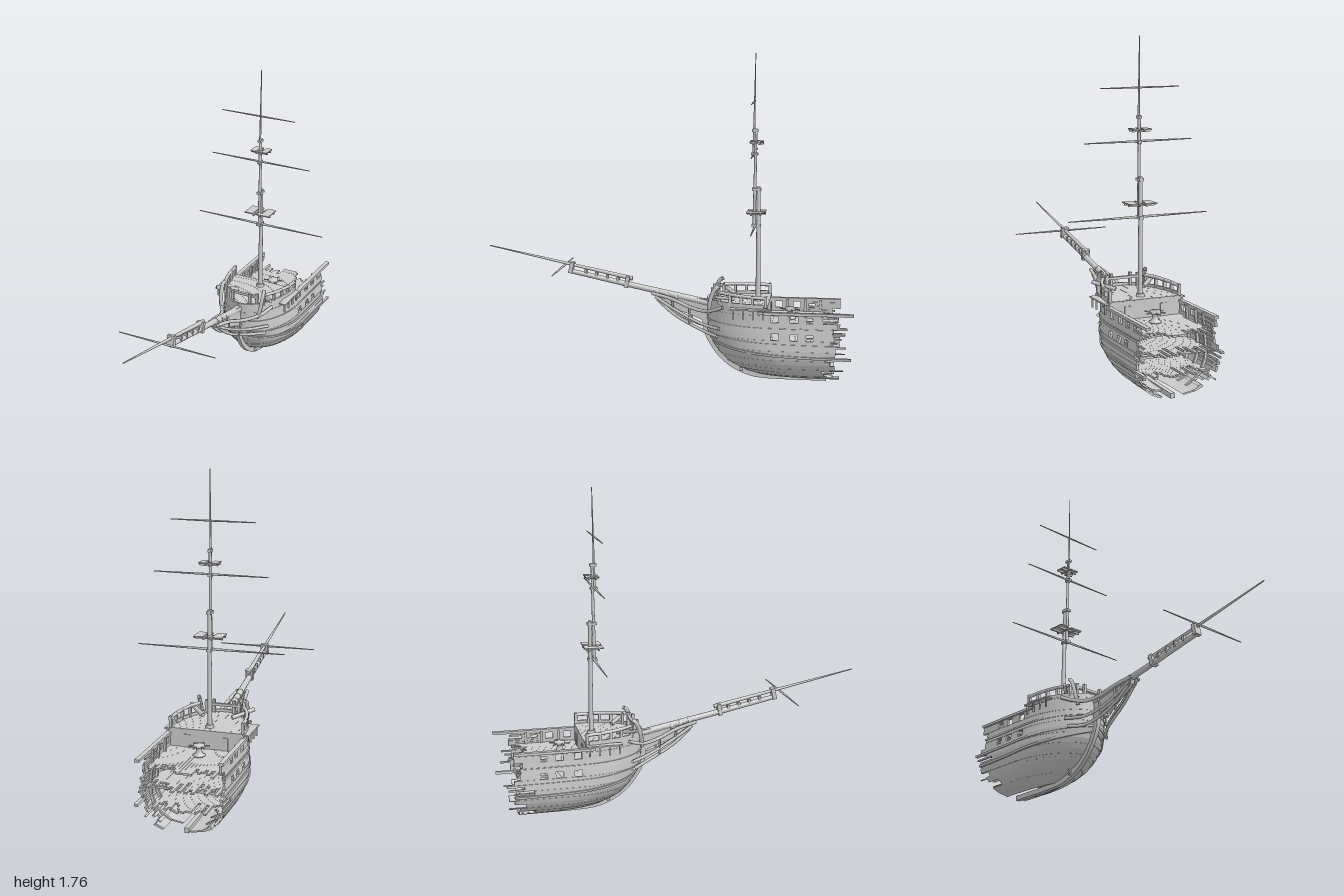
import * as THREE from 'three';
import { mergeGeometries } from 'three/addons/utils/BufferGeometryUtils.js';

const V = (x, y, z) => new THREE.Vector3(x, y, z);
let seed = 7;
const rnd = () => (seed = (seed * 16807) % 2147483647) / 2147483647;

// Linear lookup in a [key, value] table
function look(table, k) {
  for (let i = 1; i < table.length; i++) {
    const [a, va] = table[i - 1], [b, vb] = table[i];
    if (k <= b) return va + (vb - va) * Math.max(0, (k - a) / (b - a));
  }
  return table[table.length - 1][1];
}
// Hull form: half breadth and bow position by height
const BREADTH = [[0.025, 0.04], [0.035, 0.1], [0.055, 0.145], [0.09, 0.185], [0.14, 0.21], [0.19, 0.22], [0.27, 0.214], [0.34, 0.205], [0.45, 0.2]];
const BOW = [[0.025, -0.52], [0.05, -0.43], [0.1, -0.33], [0.15, -0.28], [0.2, -0.245], [0.27, -0.22], [0.45, -0.212]];
const ENTRY = 0.34;
const breadth = y => look(BREADTH, y), bow = y => look(BOW, y);
const halfWidth = (y, z) => {
  const t = Math.min(1, Math.max(0, (bow(y) - z) / ENTRY));
  return breadth(y) * Math.sqrt(1 - (1 - t) ** 2);
};
const bowAt = (x, y) => bow(y) - ENTRY * (1 - Math.sqrt(Math.max(0, 1 - (x / breadth(y)) ** 2)));

// Solid through a row of equal rings, flat faces
function loft(rings) {
  const pos = [], n = rings[0].length;
  const quad = (a, b, c, d) => [a, b, c, a, c, d].forEach(p => pos.push(p.x, p.y, p.z));
  for (let i = 0; i + 1 < rings.length; i++)
    for (let j = 0; j < n; j++) {
      const k = (j + 1) % n;
      quad(rings[i][j], rings[i][k], rings[i + 1][k], rings[i + 1][j]);
    }
  for (const r of [rings[0], rings[rings.length - 1]]) quad(r[0], r[1], r[2], r[3]);
  const g = new THREE.BufferGeometry();
  g.setAttribute('position', new THREE.Float32BufferAttribute(pos, 3));
  g.computeVertexNormals();
  return g;
}
// Hull plank between two heights; z0 null starts at the stem
function plank(side, y0, y1, z0, z1, out = 0, lift = 0, thick = 0.01) {
  const rings = [], n = z0 === null ? 22 : 4;
  for (let i = 0; i <= n; i++) {
    const d = i / n, up = lift * (1 - d) ** 2;
    const corner = (y, inset) => {
      const yy = y + up, start = z0 === null ? bow(yy) : z0;
      const z = start + (z1 - start) * (z0 === null ? 1 - Math.cos(d * Math.PI / 2) : d);
      const ease = z0 === null ? Math.max(0, 1 - d * 3) : 0;
      const x = Math.max(0, halfWidth(yy, z) - inset);
      return V(side * x, yy + (y < 0.1 ? inset * 0.6 : 0), z - inset * ease);
    };
    rings.push([corner(y0, -out), corner(y1, -out), corner(y1, thick), corner(y0, thick)]);
  }
  return loft(rings);
}
const box = (w, h, d, x, y, z) => new THREE.BoxGeometry(w, h, d).translate(x, y, z);
function spar(a, b, r0, r1, sides = 12) {
  const dir = b.clone().sub(a);
  const g = new THREE.CylinderGeometry(r1, r0, dir.length(), sides);
  g.applyQuaternion(new THREE.Quaternion().setFromUnitVectors(V(0, 1, 0), dir.normalize()));
  const m = a.clone().add(b).multiplyScalar(0.5);
  return g.translate(m.x, m.y, m.z);
}
const tube = (pts, r) => new THREE.TubeGeometry(new THREE.CatmullRomCurve3(pts.map(p => V(...p))), 24, r, 6);
// Side profile of (z, y) points extruded across x
function profile(pts, width) {
  const g = new THREE.ExtrudeGeometry(new THREE.Shape(pts), { depth: width, bevelEnabled: false });
  return g.translate(0, 0, -width / 2).rotateY(-Math.PI / 2);
}
const spline = pts => new THREE.SplineCurve(pts.map(p => new THREE.Vector2(...p))).getPoints(24);

export function createModel() {
  const ship = new THREE.Group();
  ship.name = 'wreckedSailingShip';
  const mat = new THREE.MeshStandardMaterial({ color: 0xcccccc, side: THREE.DoubleSide });
  const add = (name, ...geos) => {
    const list = geos.flat().map(g => {
      const f = g.index ? g.toNonIndexed() : g;
      f.deleteAttribute('uv');
      return f;
    });
    const mesh = new THREE.Mesh(mergeGeometries(list), mat);
    mesh.name = name;
    ship.add(mesh);
  };
  const both = fn => [1, -1].flatMap(fn);

  // Hull planking with torn ends and gun ports
  const rows = [0.025, 0.035, 0.055, 0.08, 0.105, 0.13, 0.155, 0.18, 0.205, 0.232, 0.262, 0.297, 0.326, 0.355, 0.39, 0.405];
  add('hullPlanking', both(s => rows.slice(1).flatMap((y1, i) => {
    const y0 = rows[i], end = -0.81 - 0.13 * rnd(), out = i % 2 ? 0.002 : 0;
    const spans = i === 10 || i === 13
      ? [[null, -0.57], [-0.61, -0.67], [-0.71, -0.755], [-0.79, end]] : [[null, end]];
    return spans.map(([a, b]) => plank(s, y0, y1, a, b, out));
  })));
  add('forecastleSides', both(s => [plank(s, 0.405, 0.425, null, -0.55), plank(s, 0.425, 0.447, null, -0.53, 0.002)]));
  // Thick wales and the rail
  add('wales', both(s => [
    plank(s, 0.163, 0.176, null, s > 0 ? -0.99 : -0.93, 0.008, 0.08),
    plank(s, 0.228, 0.24, null, s > 0 ? -0.92 : -0.97, 0.007, 0.04),
    plank(s, 0.312, 0.322, null, -0.9, 0.006, 0.02),
  ]));
  add('bulwarkRail', both(s => plank(s, 0.396, 0.41, -0.5, s > 0 ? -1 : -0.93, 0.012, 0, 0.012)));
  // Splintered battens poking past the break
  add('brokenBattens', both(s => Array.from({ length: 16 }, (_, i) => {
    const y = 0.05 + i * 0.022;
    return plank(s, y, y + 0.009, -0.75, -0.85 - 0.12 * rnd(), -0.004, 0, 0.014);
  })));
  // Inner ribs
  add('ribs', both(s => [-0.4, -0.5, -0.64, -0.735, -0.82].map(z => loft(
    [0.04, 0.07, 0.11, 0.16, 0.22, 0.3, 0.4].map(y => {
      const x = halfWidth(y, z) - 0.009;
      return [V(s * x, y, z - 0.007), V(s * x, y, z + 0.007), V(s * (x - 0.014), y + 0.005, z + 0.007), V(s * (x - 0.014), y + 0.005, z - 0.007)];
    })))));

  // Stem and keel in one sweep
  const outer = spline([[-0.19, 0.42], [-0.19, 0.27], [-0.25, 0.15], [-0.33, 0.07], [-0.43, 0.02], [-0.55, 0.002], [-0.86, 0]]);
  const inner = spline([[-0.86, 0.026], [-0.55, 0.03], [-0.46, 0.05], [-0.36, 0.1], [-0.28, 0.18], [-0.235, 0.27], [-0.225, 0.42]]);
  add('stemAndKeel', profile([...outer, ...inner], 0.024));

  // Decks laid in lanes with ragged ends
  const deck = (y, front, back, ragged, half) => {
    const lanes = [], w = half / 12;
    for (let i = -12; i < 12; i++) {
      const x = (i + 0.5) * w, z0 = Math.min(front, bowAt(Math.abs(x) + w / 2, y) - 0.004);
      const z1 = back - ragged * (rnd() - 0.5);
      lanes.push(box(w * 0.98, 0.01, z0 - z1, x, y, (z0 + z1) / 2));
    }
    return lanes;
  };
  add('forecastleDeck', deck(0.427, -0.2, -0.55, 0, 0.192));
  add('mainDeck', deck(0.33, -0.2, -0.88, 0.1, 0.198));
  add('lowerDeck', deck(0.225, -0.2, -0.84, 0.14, 0.208));
  add('hold', deck(0.12, -0.2, -0.83, 0.14, 0.19));
  add('deckBeams', [-0.6, -0.68, -0.76, -0.83].flatMap(z => [box(0.38, 0.012, 0.014, 0, 0.319, z), box(0.4, 0.012, 0.014, 0, 0.214, z)]));
  add('forecastleBulkhead', box(0.385, 0.095, 0.01, 0, 0.378, -0.545), both(s => box(0.035, 0.07, 0.006, s * 0.1, 0.368, -0.552)));

  // Capstan with bars
  const drum = [[0, 0], [0.032, 0], [0.032, 0.008], [0.018, 0.014], [0.014, 0.04], [0.028, 0.046], [0.028, 0.062], [0, 0.064]];
  add('capstan', new THREE.LatheGeometry(drum.map(p => new THREE.Vector2(...p)), 16).translate(0, 0.335, -0.66),
    [0, 1, 2].map(i => box(0.11, 0.006, 0.006, 0, 0, 0).rotateY(i * Math.PI / 3 + 0.3).translate(0, 0.388, -0.66)));

  // Forecastle rail, bow timbers and catheads
  const railZ = [-0.29, -0.35, -0.41, -0.47, -0.54];
  add('forecastleRail', both(s => [
    tube(railZ.map((z, i) => [s * (halfWidth(0.44, z) - 0.006), 0.492 - i * 0.003, z]), 0.01),
    ...railZ.map(z => box(0.015, 0.06, 0.015, s * (halfWidth(0.44, z) - 0.006), 0.46, z)),
  ]));
  add('bowTimbers', both(s => [
    tube([[s * 0.11, 0.37, -0.23], [s * 0.125, 0.42, -0.235], [s * 0.13, 0.48, -0.25], [s * 0.13, 0.515, -0.27], [s * 0.125, 0.525, -0.285]], 0.011),
    box(0.016, 0.07, 0.016, s * 0.055, 0.47, -0.245), box(0.016, 0.08, 0.016, s * 0.09, 0.465, -0.265),
    spar(V(s * 0.08, 0.45, -0.36), V(s * 0.175, 0.478, -0.27), 0.012, 0.012, 4),
  ]), box(0.2, 0.014, 0.016, 0, 0.485, -0.265));

  // Shroud channels with chain straps
  add('channels', both(s => [
    box(0.04, 0.008, 0.19, s * 0.207, 0.422, -0.45),
    ...[0, 1, 2, 3].map(i => box(0.008, 0.055, 0.006, s * 0.216, 0.396, -0.37 - i * 0.053)),
  ]));

  // Beakhead: central knee and sweeping head rails
  add('beakheadKnee', profile([...spline([[0.08, 0.465], [-0.06, 0.445], [-0.22, 0.43]]),
    ...spline([[-0.22, 0.3], [-0.13, 0.34], [-0.03, 0.375], [0.07, 0.43]])], 0.026));
  add('headRails', both(s => [
    tube([[s * 0.028, 0.46, 0.09], [s * 0.045, 0.435, -0.02], [s * 0.07, 0.395, -0.13], [s * 0.1, 0.385, -0.2], [s * 0.135, 0.395, -0.25], [s * 0.165, 0.42, -0.31]], 0.01),
    tube([[s * 0.025, 0.44, 0.07], [s * 0.035, 0.385, -0.02], [s * 0.055, 0.335, -0.12], [s * 0.09, 0.305, -0.21], [s * 0.15, 0.3, -0.29]], 0.009),
    tube([[s * 0.02, 0.425, 0.06], [s * 0.03, 0.35, -0.03], [s * 0.045, 0.295, -0.13], [s * 0.08, 0.262, -0.22], [s * 0.14, 0.255, -0.28]], 0.009),
    spar(V(s * 0.04, 0.44, -0.02), V(s * 0.035, 0.37, -0.03), 0.006, 0.006, 6),
    spar(V(s * 0.065, 0.4, -0.12), V(s * 0.05, 0.3, -0.12), 0.006, 0.006, 6),
  ]));

  // Bowsprit with jibboom, caps and spritsail yard
  add('bowsprit', spar(V(0, 0.385, -0.34), V(0, 0.567, 0.55), 0.02, 0.013));
  add('jibboom', spar(V(0, 0.533, 0.2), V(0, 0.698, 1), 0.012, 0.003));
  add('bowspritCaps', [[0.515, 0.23], [0.587, 0.54]].map(([y, z]) =>
    box(0.042, 0.062, 0.022, 0, 0, 0).rotateX(-0.21).translate(0, y, z)),
  [0.28, 0.34, 0.4, 0.46].map(z => box(0.034, 0.03, 0.012, 0, 0.538 + (z - 0.34) * 0.206, z)),
  [-0.05, 0, 0.05].map(z => spar(V(0, 0.45 + z * 0.206, z), V(0, 0.452 + z * 0.206, z + 0.015), 0.023, 0.023)));

  // Three-part mast
  add('lowerMast', spar(V(0, 0.22, -0.487), V(0, 1.05, -0.484), 0.014, 0.01));
  add('topmast', spar(V(0, 0.83, -0.462), V(0, 1.36, -0.468), 0.009, 0.007));
  add('topgallantMast', spar(V(0, 1.21, -0.456), V(0, 1.757, -0.463), 0.007, 0.002));
  add('mastCaps', [[0.84, -0.474, 1], [1.035, -0.474, 1], [1.225, -0.461, 0.75], [1.35, -0.463, 0.7]].map(([y, z, k]) =>
    box(0.026 * k, 0.014, 0.05 * k, 0, y, z)));
  add('mastCollar', spar(V(0, 0.43, -0.487), V(0, 0.448, -0.487), 0.024, 0.02));
  // Slatted platforms on crossed bearers
  const platform = (y, z, w, d) => [
    ...both(s => [box(w * 0.34, 0.006, d, s * w * 0.33, y, z), box(w * 0.34, 0.006, d * 0.28, s * w * 0.16, y, z + s * d * 0.36),
      box(w, 0.01, 0.008, 0, y - 0.008, z + s * d * 0.25), box(0.008, 0.01, d, s * w * 0.13, y - 0.008, z)]),
  ];
  add('mastPlatforms', platform(0.915, -0.474, 0.15, 0.1), platform(1.291, -0.473, 0.1, 0.07));

  // Yards tapering toward both tips
  const yard = (y, z, l, r, rad) => [spar(V(0, y, z), V(l, y, z - 0.004), rad, 0.0025, 8), spar(V(0, y, z), V(-r, y, z + 0.004), rad, 0.0025, 8)];
  add('yards', yard(0.842, -0.468, 0.39, 0.39, 0.007), yard(1.228, -0.46, 0.3, 0.3, 0.006), yard(1.498, -0.453, 0.21, 0.23, 0.005));
  add('spritsailYard', yard(0.589, 0.59, 0.285, 0.285, 0.006));
  return ship;
}
